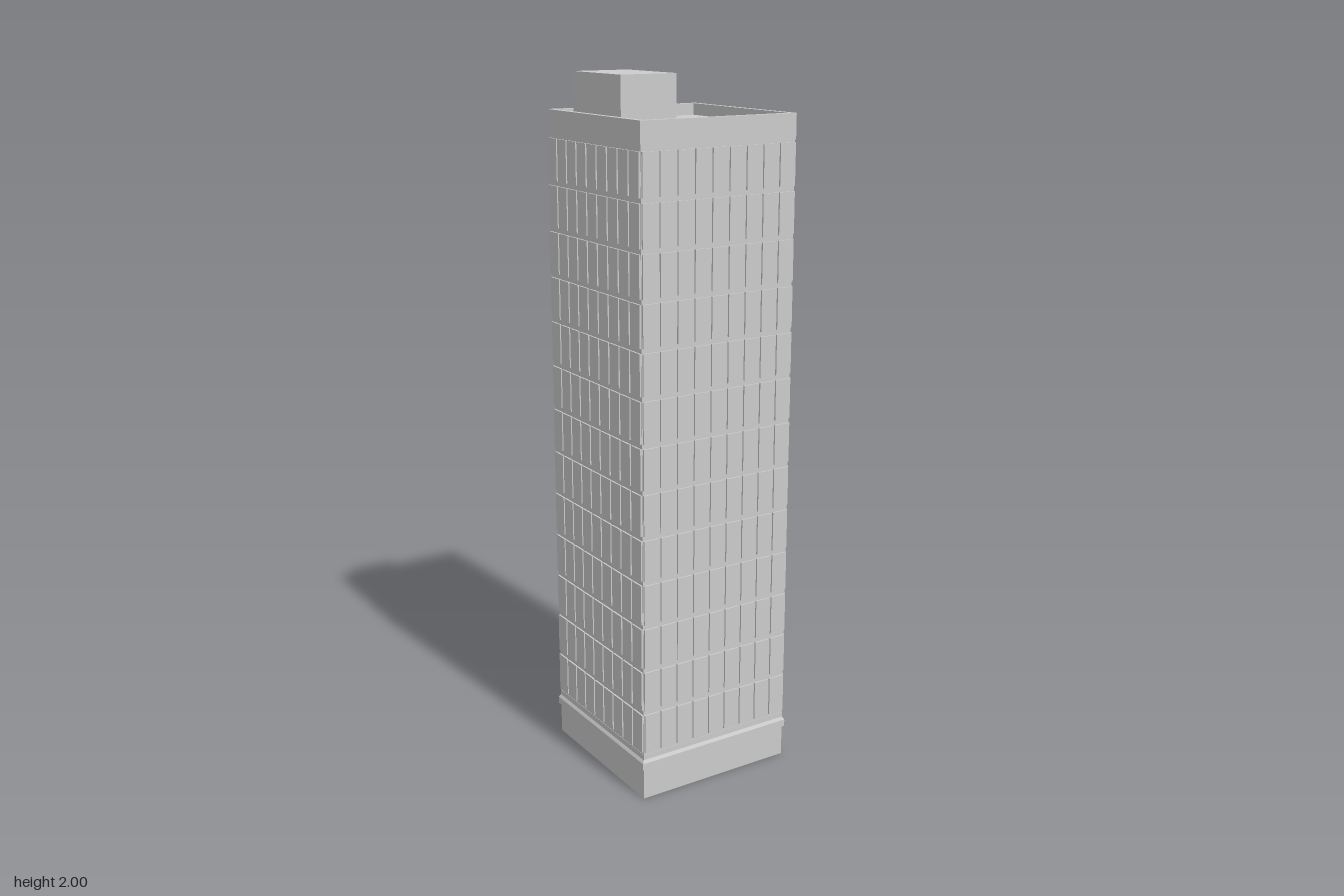
import * as THREE from 'three';
import { mergeGeometries } from 'three/addons/utils/BufferGeometryUtils.js';

export function createModel() {
  const tower = new THREE.Group();
  tower.name = 'officeTower';
  const material = new THREE.MeshStandardMaterial({ color: 0xcccccc, flatShading: true });

  const add = (name, geometry) => {
    const mesh = new THREE.Mesh(geometry, material);
    mesh.name = name;
    tower.add(mesh);
    return mesh;
  };
  // Box given by its x, y and z ranges
  const box = (x0, x1, y0, y1, z0, z1) =>
    new THREE.BoxGeometry(x1 - x0, y1 - y0, z1 - z0)
      .translate((x0 + x1) / 2, (y0 + y1) / 2, (z0 + z1) / 2);
  const square = (half, y0, y1) => box(-half, half, y0, y1, -half, half);

  // Plinth and recessed core
  add('base', square(0.2435, 0, 0.138));
  add('core', square(0.2425, 0.138, 1.828));

  // Ledge around the base, with a sloping top
  const ledgeProfile = [[0.24, 0.092], [0.249, 0.092], [0.249, 0.113], [0.2435, 0.122], [0.24, 0.122]]
    .map(([r, y]) => new THREE.Vector2(r * Math.SQRT2, y));
  add('baseLedge', new THREE.LatheGeometry(ledgeProfile, 4, Math.PI / 4).toNonIndexed());

  // Facade panels: 9 bays by 13 floors on each side, with grooves between
  const bays = 9, floors = 13, half = 0.2435;
  const pitchX = (2 * half) / bays, pitchY = 0.13;
  const gapX = 0.006, gapY = 0.014, firstFloor = 0.145;
  const panels = [];
  for (let floor = 0; floor < floors; floor++) {
    const y = firstFloor + floor * pitchY;
    for (let bay = 0; bay < bays; bay++) {
      const x = -half + bay * pitchX;
      panels.push(box(x + gapX / 2, x + pitchX - gapX / 2, y, y + pitchY - gapY, 0.2415, 0.2475));
    }
  }
  const facade = mergeGeometries(panels);
  ['front', 'left', 'back', 'right'].forEach((side, i) => {
    add(side + 'FacadePanels', facade).rotation.y = (i * Math.PI) / 2;
  });

  // Parapet: square ring around the roof
  const outline = (Type, r) => {
    const path = new Type();
    path.moveTo(-r, -r).lineTo(r, -r).lineTo(r, r).lineTo(-r, r).closePath();
    return path;
  };
  const ring = outline(THREE.Shape, 0.2445);
  ring.holes.push(outline(THREE.Path, 0.228));
  add('parapet', new THREE.ExtrudeGeometry(ring, { depth: 0.07, bevelEnabled: false })
    .rotateX(-Math.PI / 2).translate(0, 1.828, 0));

  // Roof deck and plant room
  add('roofDeck', square(0.23, 1.826, 1.865));
  add('roofPlantRoom', box(-0.186, -0.012, 1.86, 2, -0.2, 0.053));

  return tower;
}
